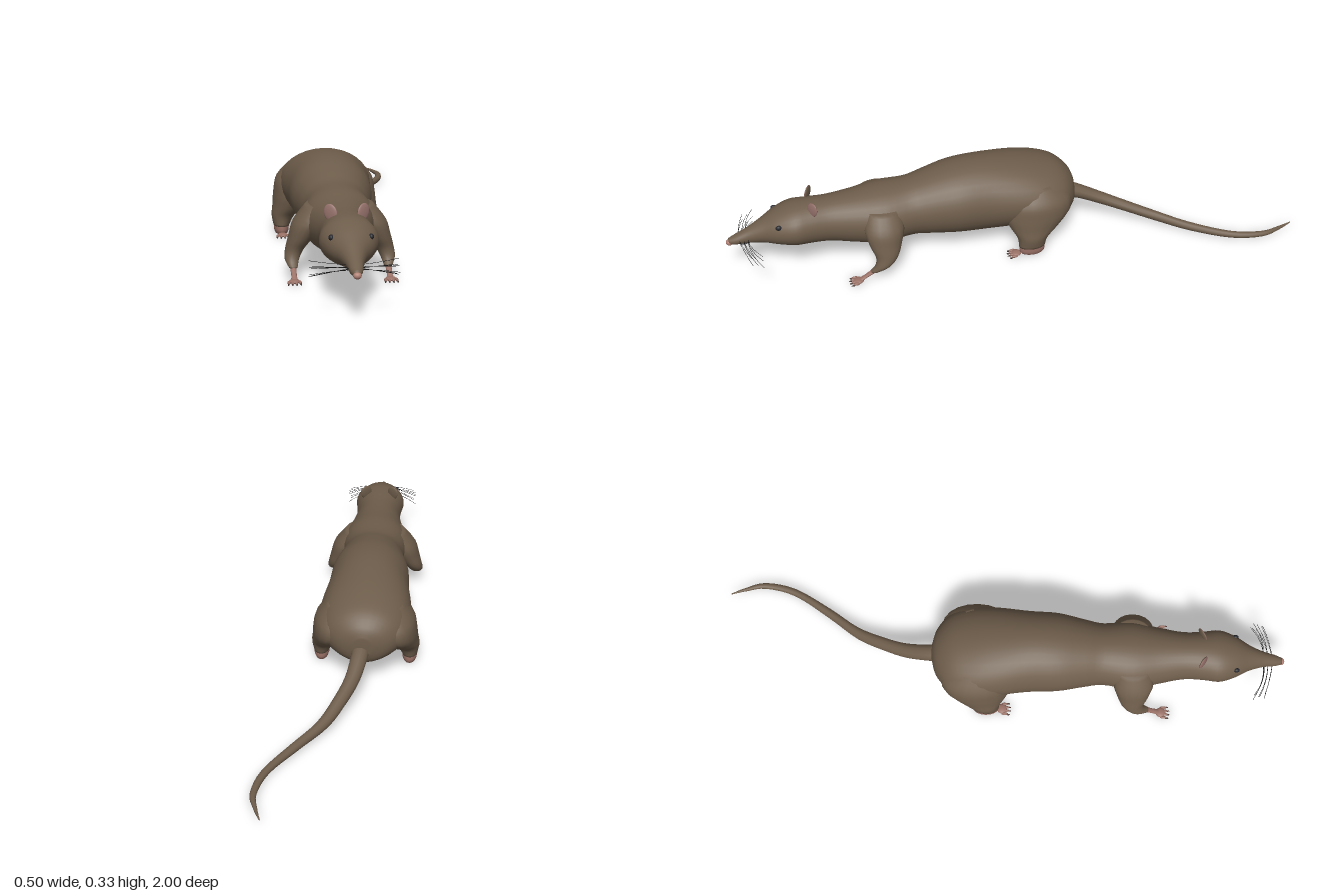
import * as THREE from 'three';

const paint = (name, color, side = THREE.FrontSide) => {
  const m = new THREE.MeshStandardMaterial({ color, side });
  m.name = name;
  return m;
};

// Catmull-Rom resampling of table rows
function resample(rows, steps) {
  const out = [];
  const at = i => rows[Math.max(0, Math.min(rows.length - 1, i))];
  for (let i = 0; i < rows.length - 1; i++) {
    for (let k = 0; k < steps; k++) {
      const t = k / steps;
      out.push(rows[i].map((_, c) => {
        const [a, b, d, e] = [at(i - 1)[c], at(i)[c], at(i + 1)[c], at(i + 2)[c]];
        return b + 0.5 * t * (d - a + t * (2 * a - 5 * b + 4 * d - e + t * (3 * (b - d) + e - a)));
      }));
    }
  }
  out.push(rows[rows.length - 1]);
  return out;
}

// Closed skin over a list of sections; place(row, angle) gives a point
function loft(name, material, rows, sides, place, steps = 4) {
  const sections = resample(rows, steps);
  const pos = [], index = [];
  const n = sections.length;
  sections.forEach(row => {
    for (let j = 0; j < sides; j++) pos.push(...place(row, j / sides * Math.PI * 2));
  });
  for (let i = 0; i < n - 1; i++) {
    for (let j = 0; j < sides; j++) {
      const k = (j + 1) % sides, a = i * sides, b = a + sides;
      index.push(a + j, a + k, b + j, a + k, b + k, b + j);
    }
  }
  // end caps
  [0, n - 1].forEach(i => {
    const c = [0, 0, 0], base = i * sides, id = pos.length / 3;
    for (let j = 0; j < sides; j++) for (let q = 0; q < 3; q++) c[q] += pos[(base + j) * 3 + q] / sides;
    pos.push(...c);
    for (let j = 0; j < sides; j++) {
      const k = (j + 1) % sides;
      if (i === 0) index.push(id, base + k, base + j);
      else index.push(id, base + j, base + k);
    }
  });
  const g = new THREE.BufferGeometry();
  g.setAttribute('position', new THREE.Float32BufferAttribute(pos, 3));
  g.setIndex(index);
  g.computeVertexNormals();
  const mesh = new THREE.Mesh(g, material);
  mesh.name = name;
  return mesh;
}

// Upright section, row = [z, halfWidth, top, bottom, x]
const upright = ([z, w, top, bottom, x], a) =>
  [x + w * Math.cos(a), (top + bottom) / 2 + (top - bottom) / 2 * Math.sin(a), z];
// Level section, row = [y, x, z, radiusX, radiusZ]
const level = ([y, x, z, rx, rz], a) => [x + rx * Math.cos(a), y, z - rz * Math.sin(a)];

export function createModel() {
  const fur = paint('brown fur', 0x6e5d4b);
  const skin = paint('pink skin', 0x9a7166);
  const earPink = paint('ear pink', 0x94706a);
  const nosePink = paint('nose pink', 0xb08074);
  const black = paint('eye black', 0x25272c);
  const hair = paint('whisker black', 0x141414, THREE.DoubleSide);
  const claw = paint('claw brown', 0x43302a);

  const model = new THREE.Group();
  model.name = 'rat';
  const animal = new THREE.Group();
  animal.name = 'bodyAndHead';
  animal.position.x = -0.06;
  model.add(animal);

  const ball = (name, mat, p, s, parent = animal) => {
    const m = new THREE.Mesh(new THREE.SphereGeometry(1, 16, 12), mat);
    m.name = name;
    m.position.set(...p);
    m.scale.set(...s);
    parent.add(m);
    return m;
  };

  // Trunk, neck, head and snout in one skin
  animal.add(loft('body', fur, [
    [-0.242, 0.03, 0.195, 0.125, 0], [-0.225, 0.085, 0.232, 0.092, 0],
    [-0.18, 0.135, 0.27, 0.075, 0], [-0.11, 0.158, 0.294, 0.066, 0],
    [-0.02, 0.158, 0.313, 0.062, 0], [0.1, 0.143, 0.327, 0.058, 0],
    [0.2, 0.138, 0.322, 0.063, 0], [0.29, 0.12, 0.302, 0.072, 0],
    [0.36, 0.109, 0.285, 0.078, 0], [0.46, 0.12, 0.281, 0.07, 0],
    [0.55, 0.1, 0.271, 0.082, 0], [0.64, 0.083, 0.266, 0.102, 0],
    [0.71, 0.086, 0.267, 0.11, 0], [0.765, 0.092, 0.264, 0.115, 0],
    [0.82, 0.074, 0.247, 0.124, 0], [0.87, 0.046, 0.221, 0.133, 0],
    [0.92, 0.028, 0.194, 0.137, 0], [0.965, 0.02, 0.173, 0.138, 0],
    [0.99, 0.011, 0.162, 0.141, 0],
  ], 32, upright));

  // Tail, from tip to root
  model.add(loft('tail', fur, [
    [-0.995, 0.002, 0.018, 0.014, 0.2], [-0.94, 0.007, 0.022, 0.009, 0.22],
    [-0.87, 0.011, 0.025, 0.006, 0.235], [-0.76, 0.014, 0.029, 0.005, 0.21],
    [-0.63, 0.019, 0.037, 0.007, 0.13], [-0.52, 0.022, 0.055, 0.018, 0.05],
    [-0.42, 0.024, 0.087, 0.045, 0], [-0.34, 0.026, 0.118, 0.07, -0.032],
    [-0.26, 0.029, 0.155, 0.1, -0.05], [-0.2, 0.032, 0.175, 0.115, -0.055],
  ], 14, upright));

  // Nose and mouth
  ball('nose', nosePink, [0, 0.147, 0.988], [0.013, 0.011, 0.012]);
  ball('mouth', black, [0, 0.14, 0.935], [0.016, 0.005, 0.025]);

  for (const s of [1, -1]) {
    const side = s > 0 ? 'left' : 'right';

    // Hind leg
    animal.add(loft(side + 'HindLeg', fur, [
      [0.034, s * 0.156, -0.05, 0.028, 0.047], [0.07, s * 0.149, -0.055, 0.041, 0.056],
      [0.105, s * 0.126, -0.068, 0.06, 0.09], [0.15, s * 0.105, -0.082, 0.077, 0.122],
      [0.2, s * 0.098, -0.085, 0.073, 0.115], [0.25, s * 0.08, -0.08, 0.05, 0.07],
    ], 20, level));
    animal.add(loft(side + 'Heel', skin, [
      [0.006, s * 0.156, -0.05, 0.022, 0.04], [0.018, s * 0.156, -0.05, 0.026, 0.046],
      [0.036, s * 0.156, -0.05, 0.027, 0.046],
    ], 16, level));

    // Foreleg and slim wrist
    animal.add(loft(side + 'Foreleg', fur, [
      [0.038, s * 0.154, 0.515, 0.014, 0.016], [0.06, s * 0.156, 0.485, 0.024, 0.028],
      [0.09, s * 0.146, 0.468, 0.031, 0.04], [0.13, s * 0.125, 0.467, 0.042, 0.057],
      [0.18, s * 0.1, 0.465, 0.052, 0.07], [0.235, s * 0.065, 0.46, 0.045, 0.06],
    ], 18, level));
    animal.add(loft(side + 'Wrist', skin, [
      [0.008, s * 0.154, 0.572, 0.013, 0.01], [0.02, s * 0.154, 0.55, 0.009, 0.011],
      [0.042, s * 0.154, 0.512, 0.011, 0.014],
    ], 12, level));

    // Feet with toes and claws
    for (const [name, z] of [['ForeFoot', 0.575], ['HindFoot', 0.008]]) {
      const foot = new THREE.Group();
      foot.name = side + name;
      foot.position.set(s * 0.155, 0, z);
      animal.add(foot);
      ball('paw', skin, [0, 0.009, 0], [0.018, 0.007, 0.018], foot);
      for (let i = 0; i < 4; i++) {
        const u = i - 1.5, reach = 0.016 - Math.abs(u) * 0.004;
        ball('toe', skin, [u * 0.012, 0.008, reach], [0.005, 0.005, 0.012], foot);
        ball('claw', claw, [u * 0.0135, 0.005, reach + 0.012], [0.0025, 0.003, 0.007], foot);
      }
    }

    // Ear: pink inside, furry back
    const ear = new THREE.Group();
    ear.name = side + 'Ear';
    ear.position.set(s * 0.051, 0.264, 0.7);
    ear.rotation.set(-0.1, s * 0.6, -s * 0.3);
    ear.scale.set(0.023, 0.028, 0.006);
    [['earInside', earPink, 0], ['earBack', fur, Math.PI]].forEach(([name, mat, start]) => {
      const half = new THREE.Mesh(new THREE.SphereGeometry(1, 12, 14, start, Math.PI), mat);
      half.name = name;
      ear.add(half);
    });
    animal.add(ear);

    // Eye
    ball(side + 'Eye', black, [s * 0.061, 0.218, 0.82], [0.008, 0.0095, 0.011]);

    // Whiskers
    for (let i = 0; i < 7; i++) {
      const f = i / 6;
      const path = new THREE.QuadraticBezierCurve3(
        new THREE.Vector3(s * 0.018, 0.15 + 0.012 * f, 0.925 + 0.015 * (i % 3)),
        new THREE.Vector3(s * 0.075, 0.142 + 0.026 * f, 0.93 + 0.008 * (i % 3)),
        new THREE.Vector3(s * (0.135 - 0.008 * (i % 2)), 0.118 + 0.05 * f, 0.89 + 0.018 * (i % 3)));
      const whisker = new THREE.Mesh(new THREE.TubeGeometry(path, 8, 0.0007, 4), hair);
      whisker.name = side + 'Whisker';
      animal.add(whisker);
    }
  }
  return model;
}
